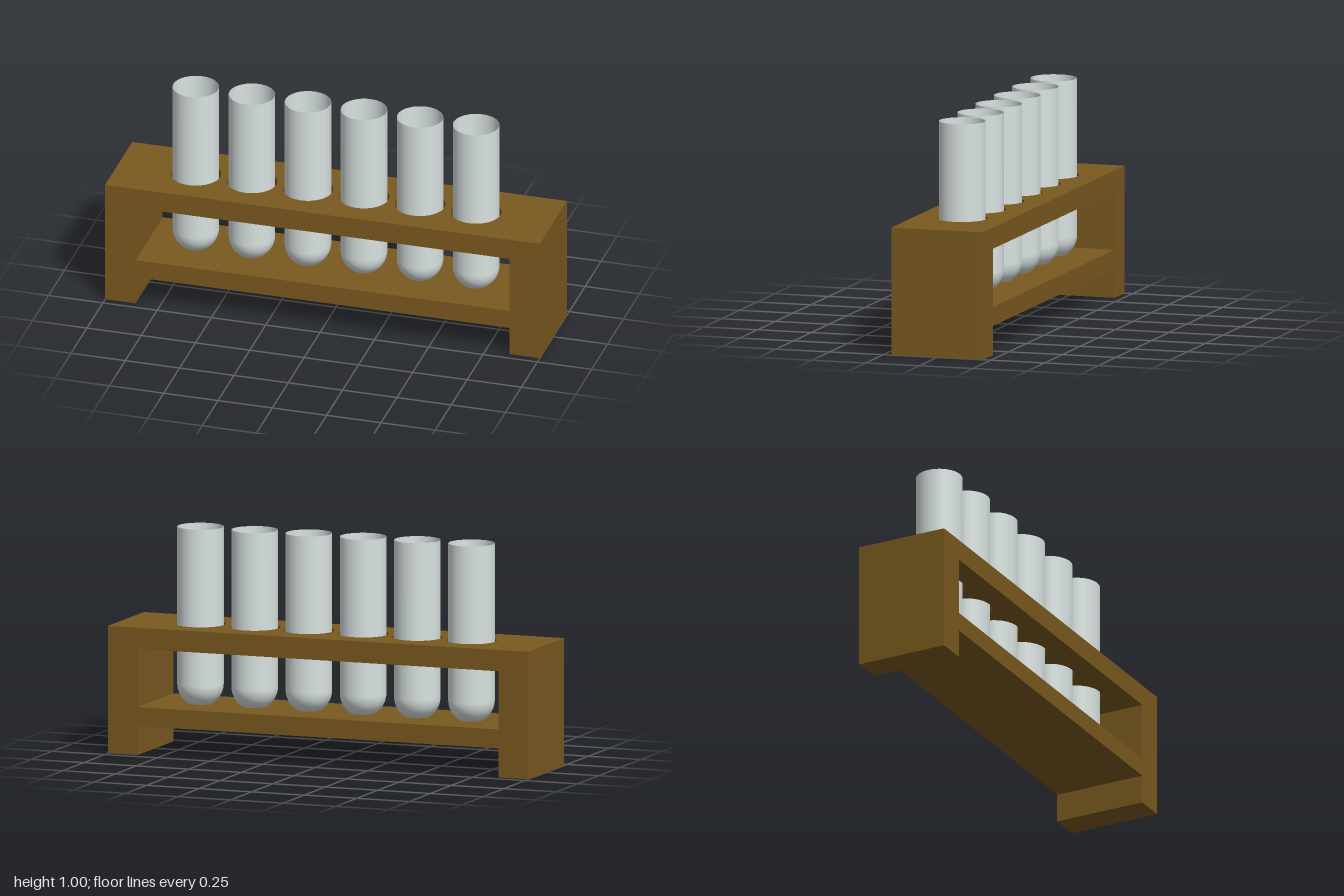
import * as THREE from 'three';

const WIDTH = 2, DEPTH = 0.426, HEIGHT = 0.57;
const LEG = 0.14, INNER = WIDTH / 2 - LEG;
const TUBES = 6, SPACING = 0.258, TUBE_R = 0.103, HOLE_R = 0.112;

const tubeX = (i) => (i - (TUBES - 1) / 2) * SPACING;

export function createModel() {
  const model = new THREE.Group();
  model.name = 'testTubeRack';
  const wood = new THREE.MeshStandardMaterial({ color: 0x7a591f });
  const glass = new THREE.MeshStandardMaterial({ color: 0xd9e3e1, side: THREE.DoubleSide });

  const add = (name, geometry, material, x, y, z = 0) => {
    const mesh = new THREE.Mesh(geometry, material);
    mesh.name = name;
    mesh.position.set(x, y, z);
    model.add(mesh);
    return mesh;
  };

  // Solid end blocks
  const end = new THREE.BoxGeometry(LEG, HEIGHT, DEPTH);
  for (const [name, s] of [['leftEnd', 1], ['rightEnd', -1]]) {
    add(name, end, wood, s * (INNER + LEG / 2), HEIGHT / 2);
  }

  // Lower shelf carrying the tubes
  add('lowerShelf', new THREE.BoxGeometry(INNER * 2, 0.085, DEPTH), wood, 0, 0.1725);

  // Top plate with a row of round holes
  const plate = new THREE.Shape();
  plate.moveTo(-INNER, -DEPTH / 2);
  plate.lineTo(INNER, -DEPTH / 2);
  plate.lineTo(INNER, DEPTH / 2);
  plate.lineTo(-INNER, DEPTH / 2);
  plate.closePath();
  for (let i = 0; i < TUBES; i++) {
    const hole = new THREE.Path();
    hole.absarc(tubeX(i), 0, HOLE_R, 0, Math.PI * 2, true);
    plate.holes.push(hole);
  }
  const thickness = 0.095;
  const plateGeometry = new THREE.ExtrudeGeometry(plate, {
    depth: thickness, bevelEnabled: false, curveSegments: 24,
  });
  plateGeometry.rotateX(-Math.PI / 2);
  add('topPlate', plateGeometry, wood, 0, HEIGHT - thickness, 0);

  // Thin open tubes with round bottoms set slightly into the shelf
  const profile = [];
  for (let i = 0; i <= 12; i++) {
    const a = (i / 12) * Math.PI / 2;
    profile.push(new THREE.Vector2(TUBE_R * Math.sin(a), TUBE_R * (1 - Math.cos(a))));
  }
  profile.push(new THREE.Vector2(TUBE_R, 0.805));
  const tube = new THREE.LatheGeometry(profile, 48);
  for (let i = 0; i < TUBES; i++) add(`testTube${i + 1}`, tube, glass, tubeX(i), 0.2);

  return model;
}
